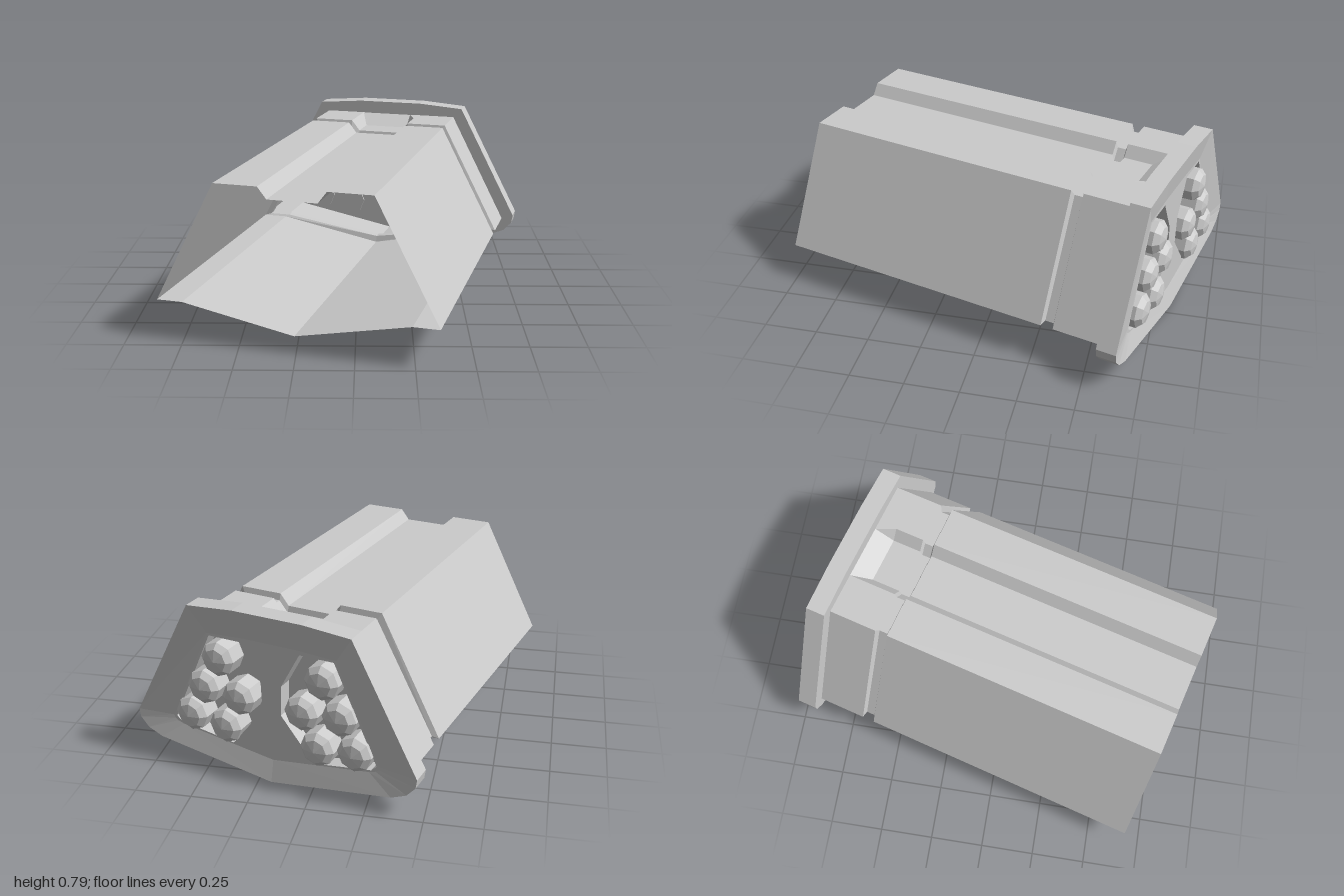
import * as THREE from 'three';

const material = new THREE.MeshStandardMaterial({ color: 0xcccccc, flatShading: true, side: THREE.DoubleSide });

// Half outline, top to bottom, completed by its mirror image
const mirrorLoop = (half) => [
  ...half,
  ...half.filter(([x]) => x > 0).reverse().map(([x, y]) => [-x, y]),
];

// Skin joining equal-length closed outlines placed along z
function loft(name, sections) {
  const n = sections[0].loop.length;
  const positions = [];
  const index = [];
  for (const { z, loop } of sections) for (const [x, y] of loop) positions.push(x, y, z);
  for (let k = 0; k < sections.length - 1; k++) {
    for (let i = 0; i < n; i++) {
      const j = (i + 1) % n;
      const a = k * n + i, b = k * n + j;
      index.push(a, b, a + n, b, b + n, a + n);
    }
  }
  const geometry = new THREE.BufferGeometry();
  geometry.setAttribute('position', new THREE.Float32BufferAttribute(positions, 3));
  geometry.setIndex(index);
  const flat = geometry.toNonIndexed();
  flat.computeVertexNormals();
  return named(name, flat);
}

function named(name, geometry) {
  const mesh = new THREE.Mesh(geometry, material);
  mesh.name = name;
  return mesh;
}

const toShape = (loop) => new THREE.Shape(loop.map(([x, y]) => new THREE.Vector2(x, y)));

// Body outline with a channel along the top; d insets it for the notch
const bodyLoop = (d = 0, floor = 0.67) => mirrorLoop([
  [0.11, floor - d], [0.15, 0.722 - d], [0.347 - d * 0.6, 0.722 - d],
  [0.627 - d, 0.18 + d * 0.3], [0.51 - d * 0.6, 0.18 + d * 0.3], [0, 0.08 + d],
]);

export function createModel() {
  const model = new THREE.Group();
  model.name = 'launcherPod';
  const assembly = new THREE.Group();
  assembly.name = 'assembly';
  assembly.position.x = -0.03;
  model.rotation.y = -0.264;
  model.add(assembly);

  // Hollow housing, open at the front, with a notch and a ramp ending the channel
  const notch = bodyLoop(0.03);
  assembly.add(loft('housing', [
    { z: 0.873, loop: bodyLoop() },
    { z: -0.463, loop: bodyLoop() },
    { z: -0.472, loop: notch },
    { z: -0.513, loop: notch },
    { z: -0.522, loop: bodyLoop() },
    { z: -0.661, loop: bodyLoop() },
    { z: -0.752, loop: bodyLoop(0, 0.721) },
  ]));

  // End cap: rim and bevel running in to the recessed panel
  const rim = mirrorLoop([
    [0.165, 0.785], [0.39, 0.767], [0.686, 0.2], [0.68, 0.16], [0.64, 0.115], [0.57, 0.085], [0, 0],
  ]);
  const panel = mirrorLoop([
    [0.13, 0.655], [0.31, 0.645], [0.51, 0.2], [0.505, 0.185], [0.49, 0.175], [0.46, 0.165], [0, 0.1],
  ]);
  assembly.add(loft('capRim', [
    { z: -0.753, loop: rim },
    { z: -0.845, loop: rim },
    { z: -0.822, loop: panel },
  ]));
  const plate = named('capPlate', new THREE.ShapeGeometry(toShape(rim)));
  plate.position.z = -0.753;
  assembly.add(plate);

  // Panel with two mirrored openings
  const opening = [
    [0.14, 0.635], [0.3, 0.635], [0.495, 0.2], [0.47, 0.176], [0.2, 0.135], [0.045, 0.33], [0.05, 0.47],
  ];
  const panelShape = toShape(panel);
  for (const side of [-1, 1]) {
    panelShape.holes.push(toShape(opening.map(([x, y]) => [side * x, y])));
  }
  const panelMesh = named('panel', new THREE.ExtrudeGeometry(panelShape, { depth: 0.068, bevelEnabled: false }));
  panelMesh.position.z = -0.822;
  assembly.add(panelMesh);

  // Domed octagonal tubes, five on each side
  const profile = [[0, 0], [0.08, 0], [0.08, 0.095], [0.055, 0.12], [0, 0.131]];
  const tube = new THREE.LatheGeometry(profile.map(([r, y]) => new THREE.Vector2(r, y)), 8);
  tube.rotateX(-Math.PI / 2);
  const centres = [[0.25, 0.54], [0.33, 0.39], [0.153, 0.375], [0.4, 0.242], [0.226, 0.222]];
  for (const side of [-1, 1]) {
    const cluster = new THREE.Group();
    cluster.name = side > 0 ? 'leftTubes' : 'rightTubes';
    for (const [x, y] of centres) {
      const mesh = named('tube', tube);
      mesh.position.set(side * x, y, -0.745);
      cluster.add(mesh);
    }
    assembly.add(cluster);
  }
  return model;
}
